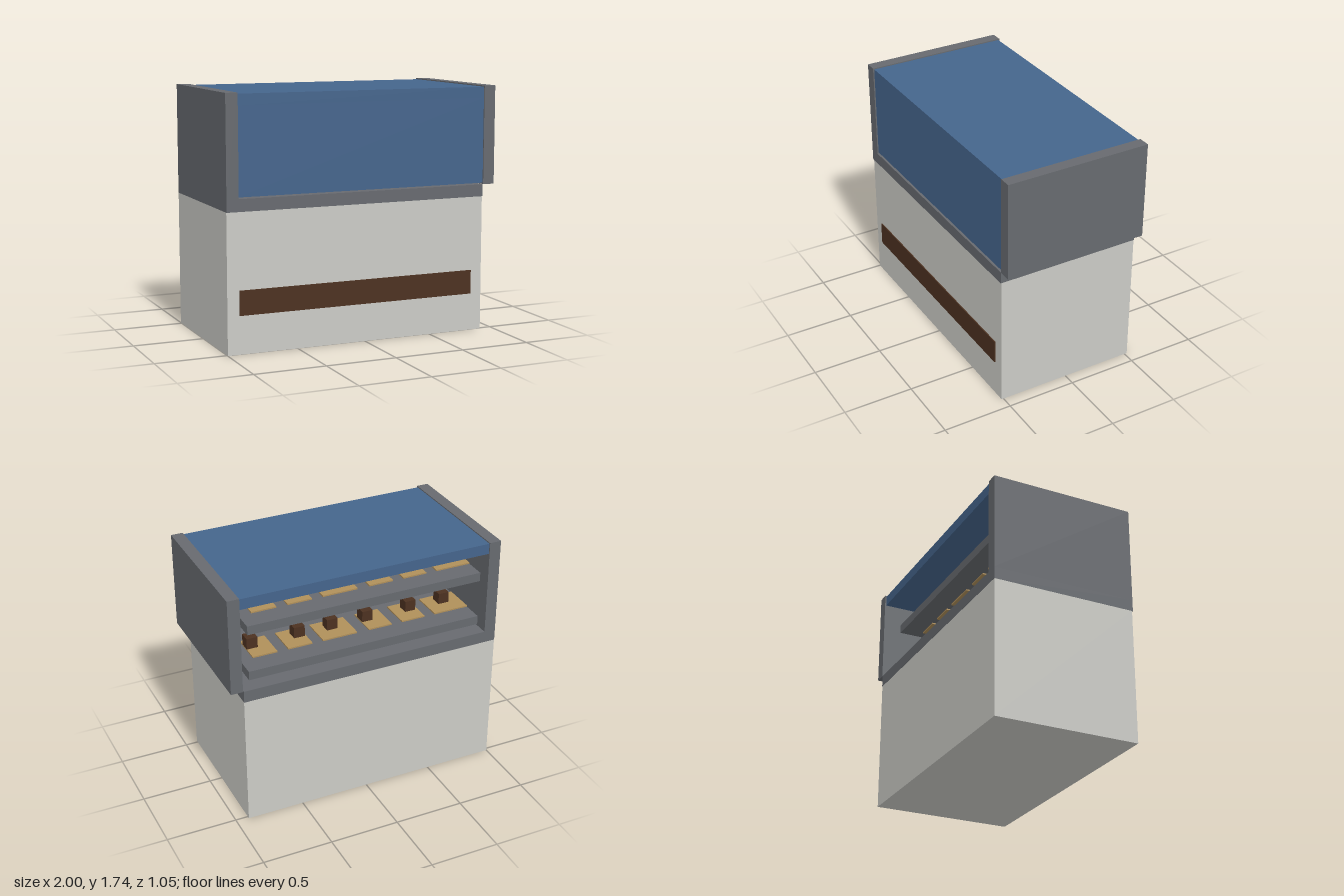
import * as THREE from 'three';

const mat = (name, color) => {
  const m = new THREE.MeshStandardMaterial({ color });
  m.name = name;
  return m;
};

export function createModel() {
  const group = new THREE.Group();
  const stone = mat('paleStone', 0xcbcbc6);
  const grey = mat('slateGrey', 0x676a6f);
  const blue = mat('glassBlue', 0x45658c);
  const brown = mat('darkBrown', 0x4c3120);
  const tan = mat('tan', 0xb0905a);

  // Box given by its extents along each axis
  const box = (name, material, [x0, x1], [y0, y1], [z0, z1], parent = group) => {
    const mesh = new THREE.Mesh(new THREE.BoxGeometry(x1 - x0, y1 - y0, z1 - z0), material);
    mesh.position.set((x0 + x1) / 2, (y0 + y1) / 2, (z0 + z1) / 2);
    mesh.name = name;
    parent.add(mesh);
    return mesh;
  };

  // Cabinet base, front stripe and counter
  box('base', stone, [-1, 0.91], [0, 0.96], [-0.52, 0.515]);
  box('frontStripe', brown, [-0.915, 0.825], [0.265, 0.435], [0.515, 0.523]);
  box('counter', grey, [-1, 0.91], [0.96, 1.045], [-0.522, 0.522]);

  // Display case: end panels, roof pane and front pane, open at the back
  box('rightEndPanel', grey, [-1, -0.915], [1.045, 1.74], [-0.522, 0.522]);
  box('leftEndPanel', grey, [0.915, 1], [1.045, 1.74], [-0.522, 0.522]);
  box('roofPane', blue, [-0.915, 0.915], [1.655, 1.732], [-0.513, 0.513]);
  box('frontPane', blue, [-0.915, 0.915], [1.055, 1.655], [0.43, 0.513]);

  // Two shelves, each with trays set through it and a small item on every tray
  const trays = [[-0.915, -0.65], [-0.57, -0.39], [-0.31, -0.13], [-0.04, 0.22], [0.3, 0.48], [0.56, 0.74]];
  const itemX = [-0.78, -0.51, -0.17, 0.1, 0.35, 0.7];
  for (const [name, y] of [['lowerShelf', 1.055], ['upperShelf', 1.4]]) {
    const shelf = new THREE.Group();
    shelf.name = name;
    group.add(shelf);
    box('shelfBoard', grey, [-0.915, 0.83], [y, y + 0.065], [-0.42, 0.42], shelf);
    trays.forEach((xs, i) => {
      box('tray', tan, xs, [y - 0.01, y + 0.075], [-0.27, -0.04], shelf);
      const x = itemX[i];
      box('item', brown, [x - 0.04, x + 0.04], [y + 0.075, y + 0.155], [-0.165, -0.085], shelf);
    });
  }
  return group;
}
